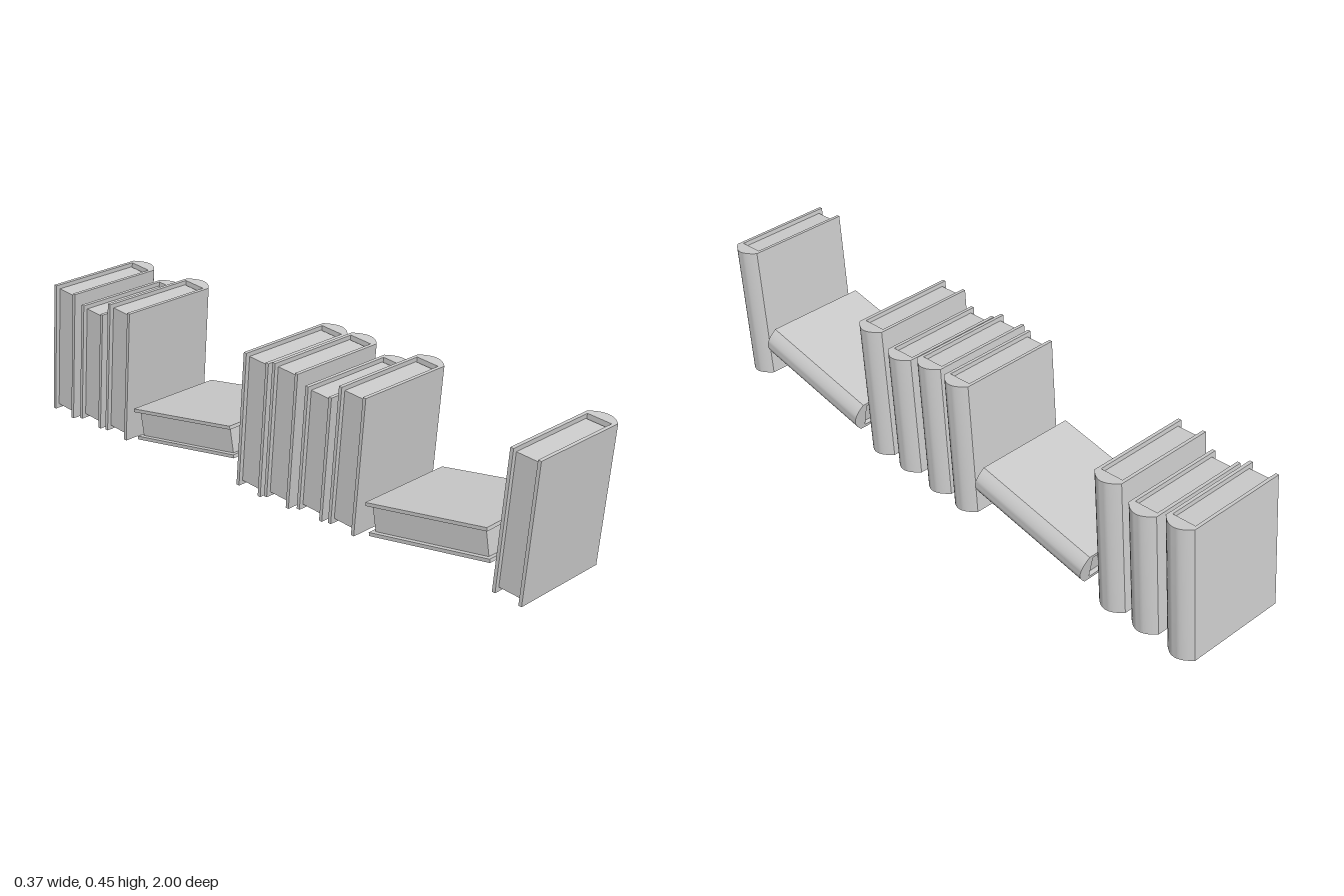
import * as THREE from 'three';
import { toCreasedNormals } from 'three/addons/utils/BufferGeometryUtils.js';

const HALF = 0.051;    // half of a book's thickness
const BOARD = 0.011;   // cover board thickness
const FORE = -0.183;   // open edge of the covers
const HINGE = 0.155;   // where the rounded spine begins
const RECESS = 0.014;  // pages sit inside the covers by this much

const material = new THREE.MeshStandardMaterial({ color: 0xcccccc });

// C-shaped cover: two boards joined by a rounded spine
function coverGeometry(height) {
  const inner = HALF - BOARD;
  const s = new THREE.Shape();
  s.moveTo(FORE, -HALF);
  s.lineTo(HINGE, -HALF);
  s.bezierCurveTo(0.192, -0.015, 0.192, 0.015, HINGE, HALF);
  s.lineTo(FORE, HALF);
  s.lineTo(FORE, inner);
  s.lineTo(0.14, inner);
  s.lineTo(0.14, -inner);
  s.lineTo(FORE, -inner);
  s.closePath();
  const g = new THREE.ExtrudeGeometry(s, { depth: height, bevelEnabled: false, curveSegments: 12 });
  g.translate(0, 0, -height / 2);
  g.rotateX(-Math.PI / 2);
  return toCreasedNormals(g, 0.45);
}

function createBook(name, height) {
  const book = new THREE.Group();
  book.name = name;

  const cover = new THREE.Mesh(coverGeometry(height), material);
  cover.name = 'cover';

  // page block, slightly recessed on three sides
  const x0 = FORE + RECESS, x1 = 0.136;
  const pages = new THREE.Mesh(
    new THREE.BoxGeometry(x1 - x0, height - 2 * RECESS, 2 * (HALF - BOARD)), material);
  pages.position.x = (x0 + x1) / 2;
  pages.name = 'pages';

  book.add(cover, pages);
  return book;
}

export function createModel() {
  const row = new THREE.Group();
  row.name = 'bookRow';

  const TALL = 0.442, SHORT = 0.402;
  const LEAN = 0.091, FLAT = Math.PI / 2 - 0.16;
  const PERIOD = 0.987;

  // one repeat of the row: [name, height, tilt, y, z]
  const pattern = [
    ['leaningBook', TALL, LEAN, 0.225, 0.929],
    ['lyingBook', TALL, FLAT, 0.108, 0.622],
    ['leaningBook', TALL, LEAN, 0.225, 0.322],
    ['shortBook', SHORT, LEAN, 0.209, 0.194],
    ['leaningBook', TALL, LEAN, 0.225, 0.06],
  ];

  for (let i = 0; i < 2; i++) {
    for (const [name, height, tilt, y, z] of pattern) {
      const book = createBook(name, height);
      book.rotation.x = tilt;
      book.position.set(0, y, z - i * PERIOD);
      row.add(book);
    }
  }
  return row;
}
